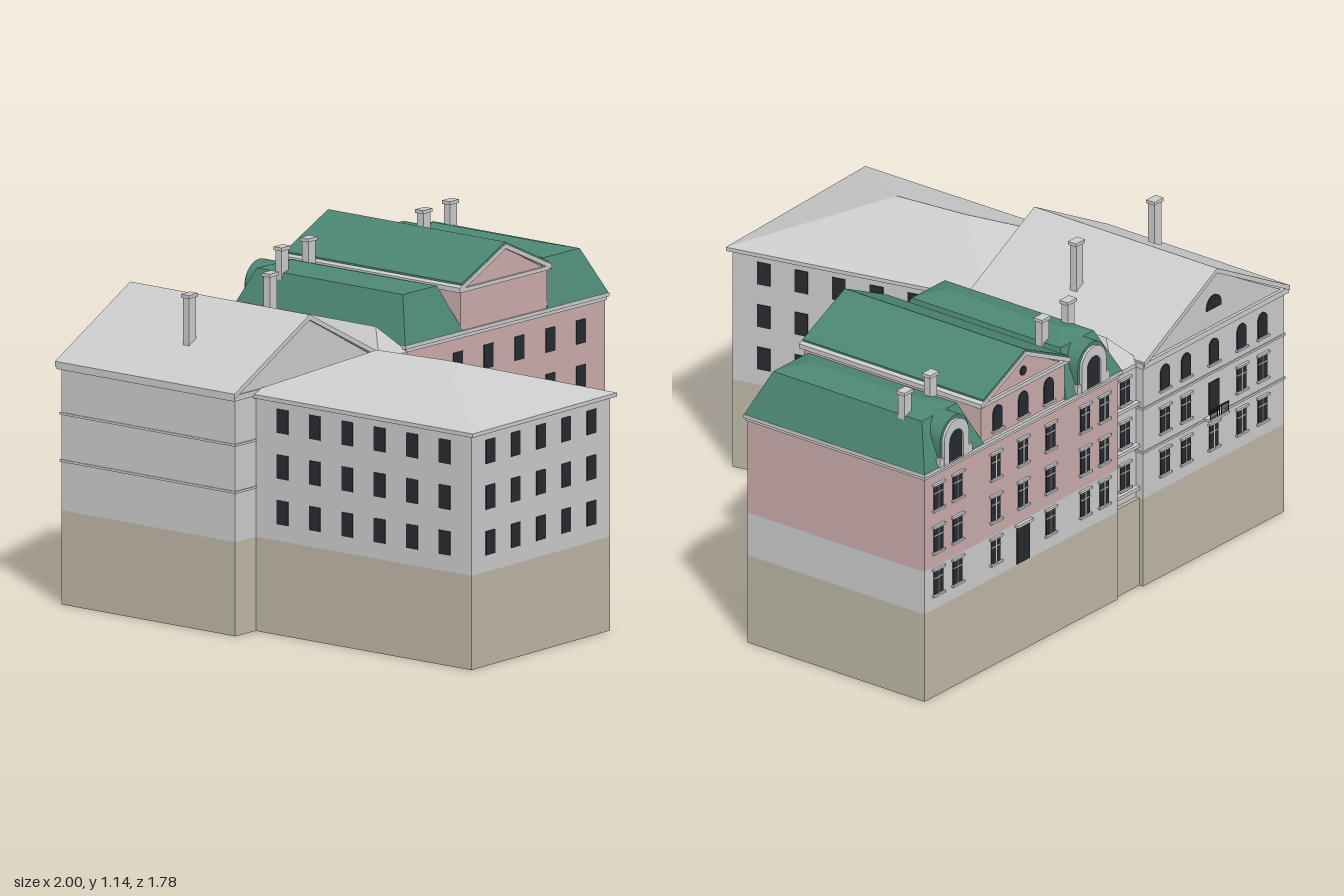
import * as THREE from 'three';

const mat = (color) => new THREE.MeshStandardMaterial({ color });
const GREY = mat(0xcccccc), TAN = mat(0xbdb7a6), PINK = mat(0xcbadac), GREEN = mat(0x4c8573), DARK = mat(0x262a30);

function add(parent, name, geo, material) {
  const m = new THREE.Mesh(geo, material);
  m.name = name;
  parent.add(m);
  return m;
}

function box(parent, name, material, x0, x1, y0, y1, z0, z1) {
  const m = add(parent, name, new THREE.BoxGeometry(x1 - x0, y1 - y0, z1 - z0), material);
  m.position.set((x0 + x1) / 2, (y0 + y1) / 2, (z0 + z1) / 2);
  return m;
}

// Rectangle as a ring of four corners, counter-clockwise from above
const rect = (x0, x1, z0, z1) => [[x0, z1], [x1, z1], [x1, z0], [x0, z0]];

// Flat-faced solid through four-cornered rings: levels = [[y, ring], ...]
function loft(parent, name, material, levels) {
  const pos = [];
  const quad = (a, b, c, d) => pos.push(...a, ...b, ...c, ...a, ...c, ...d);
  const rings = levels.map(([y, ring]) => ring.map(([x, z]) => [x, y, z]));
  for (let k = 0; k + 1 < rings.length; k++)
    for (let i = 0; i < 4; i++) {
      const j = (i + 1) % 4;
      quad(rings[k][i], rings[k][j], rings[k + 1][j], rings[k + 1][i]);
    }
  quad(...rings[rings.length - 1]);
  quad(...[...rings[0]].reverse());
  const g = new THREE.BufferGeometry();
  g.setAttribute('position', new THREE.Float32BufferAttribute(pos, 3));
  g.computeVertexNormals();
  return add(parent, name, g, material);
}

// Polygon in xy pushed from z0 to z1
function prism(parent, name, material, pts, z0, z1) {
  const shape = new THREE.Shape(pts.map(([x, y]) => new THREE.Vector2(x, y)));
  const g = new THREE.ExtrudeGeometry(shape, { depth: z1 - z0, bevelEnabled: false });
  return add(parent, name, g.translate(0, 0, z0), material);
}

// Chevron slab for a gabled roof
function chevron(parent, name, material, x0, x1, eave, ridge, t, z0, z1) {
  const m = (x0 + x1) / 2;
  return prism(parent, name, material,
    [[x0, eave], [x0, eave - t], [m, ridge - t], [x1, eave - t], [x1, eave], [m, ridge]], z0, z1);
}

// Round-topped outline standing on y = 0
function archShape(w, h) {
  const s = new THREE.Shape();
  s.moveTo(-w / 2, 0).lineTo(w / 2, 0).lineTo(w / 2, h - w / 2);
  s.absarc(0, h - w / 2, w / 2, 0, Math.PI, false);
  s.closePath();
  return s;
}
const archGeo = (w, h, depth, hole) => {
  const s = archShape(w, h);
  if (hole) s.holes.push(archShape(...hole));
  return new THREE.ExtrudeGeometry(s, { depth, bevelEnabled: false, curveSegments: 12 });
};

// Wall plane from p to q seen from outside, left to right; local x along, z out
function facade(parent, name, p, q) {
  const g = new THREE.Group();
  g.name = name;
  g.position.set(p[0], 0, p[1]);
  g.rotation.y = -Math.atan2(q[1] - p[1], q[0] - p[0]);
  g.userData.length = Math.hypot(q[0] - p[0], q[1] - p[1]);
  parent.add(g);
  return g;
}

const ROWS = [0.43, 0.59, 0.75];
const plainWindow = (f, x, y) => box(f, 'window', DARK, x - 0.025, x + 0.025, y - 0.042, y + 0.042, -0.003, 0.003);

// Casement with mullion, head and sill, optionally round-topped
function framedWindow(f, x, y, arched) {
  const w = 0.05, h = 0.09;
  if (arched) add(f, 'archedWindow', archGeo(w, h, 0.006), DARK).position.set(x, y - h / 2, -0.002);
  else {
    box(f, 'window', DARK, x - w / 2, x + w / 2, y - h / 2, y + h / 2, -0.003, 0.003);
    box(f, 'windowHead', GREY, x - 0.032, x + 0.032, y + h / 2, y + h / 2 + 0.008, 0, 0.01);
    box(f, 'mullion', GREY, x - 0.002, x + 0.002, y - h / 2, y + h / 2, 0, 0.005);
    box(f, 'transom', GREY, x - w / 2, x + w / 2, y + 0.015, y + 0.019, 0, 0.005);
  }
  box(f, 'windowSill', GREY, x - 0.032, x + 0.032, y - h / 2 - 0.007, y - h / 2, 0, 0.01);
}

function chimney(parent, x, z, y0, y1) {
  box(parent, 'chimney', GREY, x - 0.019, x + 0.019, y0, y1 - 0.012, z - 0.014, z + 0.014);
  box(parent, 'chimneyCap', GREY, x - 0.025, x + 0.025, y1 - 0.012, y1, z - 0.018, z + 0.018);
}

function buildGabledHouse() {
  const g = new THREE.Group();
  g.name = 'gabledHouse';
  const x0 = -0.985, x1 = -0.21, z0 = -0.86, z1 = -0.085;
  box(g, 'base', TAN, x0, x1, 0, 0.33, z0, z1);
  prism(g, 'walls', GREY, [[x0, 0.33], [x1, 0.33], [x1, 0.835], [-0.6, 1.045], [x0, 0.835]], z0, z1);
  for (const y of [0.5, 0.665]) box(g, 'stringCourse', GREY, x0 - 0.004, x1 + 0.004, y, y + 0.008, z0 - 0.004, z1 + 0.004);
  box(g, 'cornice', GREY, x0 - 0.012, x1 + 0.012, 0.825, 0.845, z0 - 0.012, z1 + 0.005);
  chevron(g, 'roof', GREY, -1, -0.2, 0.852, 1.062, 0.018, -0.875, -0.075);
  for (const x of [-0.81, -0.38]) chimney(g, x, -0.435, 0.9, 1.12);
  const f = facade(g, 'backFacade', [x1, z0], [x0, z0]);
  for (const x of [0.12, 0.235, 0.3875, 0.54, 0.655])
    ROWS.forEach((y, i) => { if (!(x === 0.3875 && i === 1)) framedWindow(f, x, y, i === 2); });
  // Lunette, balcony and its door
  add(f, 'lunette', archGeo(0.08, 0.05, 0.006), DARK).position.set(0.3875, 0.91, -0.002);
  box(f, 'balconyDoor', DARK, 0.36, 0.415, 0.515, 0.635, -0.003, 0.004);
  box(f, 'balconyFloor', GREY, 0.335, 0.44, 0.503, 0.512, 0, 0.03);
  box(f, 'balconyRail', DARK, 0.337, 0.438, 0.545, 0.55, 0.025, 0.029);
  for (let i = 0; i < 9; i++) {
    const x = 0.339 + i * 0.0121;
    box(f, 'baluster', DARK, x - 0.0015, x + 0.0015, 0.51, 0.547, 0.025, 0.028);
  }
  return g;
}

function buildLink() {
  const g = new THREE.Group();
  g.name = 'link';
  box(g, 'base', TAN, -0.22, -0.07, 0, 0.33, -0.845, -0.087);
  box(g, 'walls', GREY, -0.22, -0.07, 0.33, 0.83, -0.83, -0.087);
  loft(g, 'roof', GREY, [[0.825, rect(-0.225, -0.07, -0.84, -0.08)], [0.84, rect(-0.225, -0.07, -0.84, -0.08)],
    [0.93, rect(-0.147, -0.147, -0.75, -0.16)]]);
  const f = facade(g, 'linkBackFacade', [-0.085, -0.83], [-0.21, -0.83]);
  for (const y of ROWS) {
    framedWindow(f, 0.0625, y);
    box(f, 'ledge', GREY, 0, 0.125, y - 0.068, y - 0.056, 0, 0.018);
  }
  return g;
}

function buildWing() {
  const g = new THREE.Group();
  g.name = 'wing';
  const wall = [[-0.87, 0.872], [-0.095, 0.84], [-0.31, -0.1], [-0.875, -0.1]];
  const eave = [[-0.883, 0.888], [-0.073, 0.853], [-0.298, -0.115], [-0.89, -0.115]];
  const front = [-0.53, 0.47], back = [-0.56, 0.19];
  loft(g, 'base', TAN, [[0, wall], [0.33, wall]]);
  loft(g, 'walls', GREY, [[0.33, wall], [0.82, wall]]);
  loft(g, 'roof', GREY, [[0.818, eave], [0.832, eave], [0.97, [front, front, back, back]]]);
  const sides = [['frontFacade', 0, 1, 5, 0.135, 0.1825], ['leftFacade', 1, 2, 6, 0.122, 0.148],
    ['rightFacade', 3, 0, 6, 0.138, 0.148]];
  for (const [name, a, b, n, start, step] of sides) {
    const f = facade(g, name, wall[a], wall[b]);
    for (let i = 0; i < n; i++) for (const y of ROWS) plainWindow(f, (start + i * step) * f.userData.length, y);
  }
  return g;
}

// Corner mansard with a round-headed dormer at the back
function buildMansard(xa, xb, ta, tb) {
  const g = new THREE.Group();
  g.name = 'mansard';
  const m = (ta + tb) / 2;
  loft(g, 'mansardRoof', GREEN, [[0.86, rect(xa, xb, -0.868, -0.078)], [1.02, rect(ta, tb, -0.8, -0.15)],
    [1.045, rect(m, m, -0.72, -0.23)]]);
  const d = new THREE.Group();
  d.name = 'dormer';
  d.position.set(m, 0.862, -0.865);
  d.rotation.y = Math.PI;
  g.add(d);
  add(d, 'dormerHood', archGeo(0.155, 0.165, 0.13), GREEN).position.z = -0.13;
  add(d, 'dormerFrame', archGeo(0.135, 0.153, 0.01, [0.075, 0.115]), GREY);
  add(d, 'dormerWindow', archGeo(0.08, 0.118, 0.004), DARK);
  for (const s of [-1, 1]) box(d, 'dormerFoot', GREY, s * 0.075 - 0.014, s * 0.075 + 0.014, 0, 0.03, -0.02, 0.008);
  chimney(g, m - 0.083, -0.695, 0.93, 1.11);
  chimney(g, m + 0.083, -0.715, 0.93, 1.11);
  return g;
}

function buildPinkHouse() {
  const g = new THREE.Group();
  g.name = 'pinkHouse';
  const x0 = -0.075, x1 = 0.985, z0 = -0.857, z1 = -0.085;
  box(g, 'base', TAN, x0, x1, 0, 0.33, z0, z1);
  box(g, 'lowerWalls', GREY, x0, x1, 0.33, 0.49, z0, z1);
  box(g, 'upperWalls', PINK, x0, x1, 0.49, 0.84, z0, z1);
  box(g, 'cornice', GREY, x0 - 0.006, x1 + 0.006, 0.838, 0.85, z0 - 0.006, z1 + 0.004);
  box(g, 'eaves', GREY, x0 - 0.013, x1 + 0.013, 0.85, 0.863, z0 - 0.012, z1 + 0.008);
  g.add(buildMansard(-0.088, 0.222, -0.015, 0.167), buildMansard(0.67, 0.998, 0.735, 0.927));

  // Raised centre with pediments at both ends
  prism(g, 'centreBlock', PINK, [[0.215, 0.86], [0.675, 0.86], [0.675, 1.0], [0.445, 1.115], [0.215, 1.0]], z0, z1);
  box(g, 'pedimentCornice', GREY, 0.205, 0.685, 0.998, 1.012, -0.868, -0.077);
  chevron(g, 'pedimentTrim', GREY, 0.2, 0.69, 1.016, 1.13, 0.017, -0.872, -0.075);
  chevron(g, 'centreRoof', GREEN, 0.214, 0.676, 1.029, 1.136, 0.008, -0.868, -0.079);

  const front = facade(g, 'frontFacade', [x0, z1], [x1, z1]);
  for (let i = 0; i < 6; i++) for (const y of ROWS) plainWindow(front, 0.11 + i * 0.164, y);

  const back = facade(g, 'backFacade', [x1, z0], [x0, z0]);
  for (const x of [0.075, 0.18, 0.39, 0.54, 0.69, 0.88, 0.985])
    ROWS.forEach((y, i) => { if (!(x === 0.54 && i === 0)) framedWindow(back, x, y); });
  box(back, 'door', DARK, 0.505, 0.575, 0.335, 0.475, -0.003, 0.004);
  box(back, 'doorHead', GREY, 0.497, 0.583, 0.475, 0.485, 0, 0.014);
  for (const x of [0.4, 0.54, 0.68]) framedWindow(back, x, 0.93, true);
  const oculus = add(back, 'oculus', new THREE.CylinderGeometry(0.017, 0.017, 0.008, 16), DARK);
  oculus.rotation.x = Math.PI / 2;
  oculus.position.set(0.54, 1.053, 0);
  return g;
}

export function createModel() {
  const model = new THREE.Group();
  model.name = 'townHouses';
  model.add(buildGabledHouse(), buildLink(), buildWing(), buildPinkHouse());
  return model;
}
